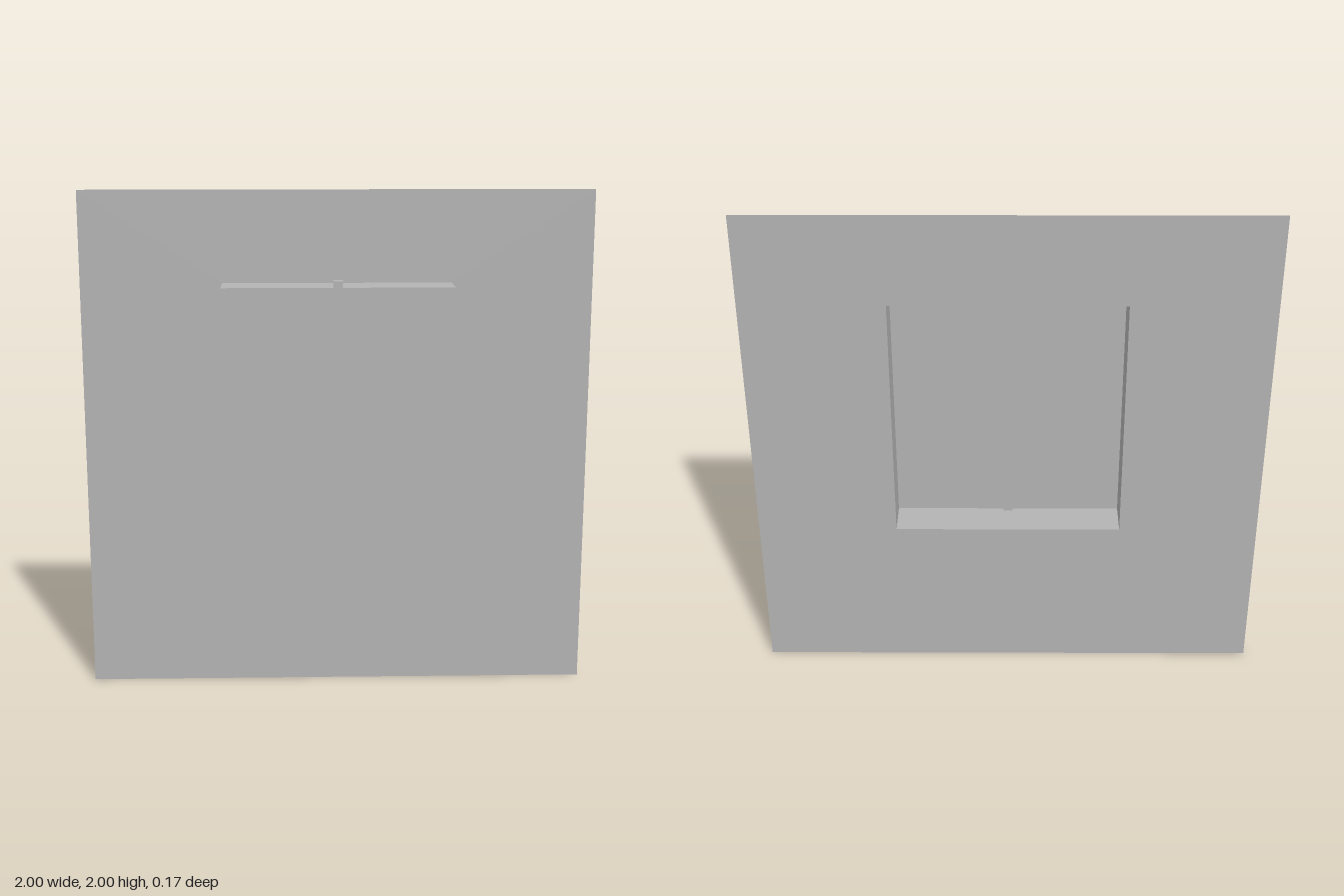
import * as THREE from 'three';

const BACK = -0.083, FRONT = 0.067;          // depth of the wall sheet and of the pane
const HALF_W = 0.448, LOW = 0.64, HIGH = 1.64; // window opening
const MID = (LOW + HIGH) / 2, HEIGHT = HIGH - LOW, DEPTH = FRONT - BACK;

export function createModel() {
  const group = new THREE.Group();
  const plaster = new THREE.MeshStandardMaterial({ color: 0xb3b3b3, side: THREE.DoubleSide });
  plaster.name = 'plainGrey';

  const add = (name, geometry, x, y, z, rx = 0, ry = 0) => {
    const mesh = new THREE.Mesh(geometry, plaster);
    mesh.name = name;
    mesh.position.set(x, y, z);
    mesh.rotation.set(rx, ry, 0);
    group.add(mesh);
  };

  // Thin square wall with the window opening cut out
  const wall = new THREE.Shape([[-1, 0], [1, 0], [1, 2], [-1, 2]].map(p => new THREE.Vector2(...p)));
  wall.holes.push(new THREE.Path(
    [[-HALF_W, LOW], [-HALF_W, HIGH], [HALF_W, HIGH], [HALF_W, LOW]].map(p => new THREE.Vector2(...p))));
  add('wall', new THREE.ShapeGeometry(wall), 0, 0, BACK);

  // Four sides of the projecting box, open at the back
  const midZ = (BACK + FRONT) / 2;
  for (const s of [-1, 1]) {
    add(s > 0 ? 'leftReveal' : 'rightReveal', new THREE.PlaneGeometry(DEPTH, HEIGHT),
      s * HALF_W, MID, midZ, 0, s * Math.PI / 2);
    add(s > 0 ? 'topReveal' : 'sill', new THREE.PlaneGeometry(2 * HALF_W, DEPTH),
      0, MID + s * HEIGHT / 2, midZ, -s * Math.PI / 2);
  }

  // Front pane and the vertical bar passing through it
  add('pane', new THREE.PlaneGeometry(2 * HALF_W, HEIGHT), 0, MID, FRONT);
  add('centreBar', new THREE.BoxGeometry(0.036, 1.054, 0.033), 0, MID, 0.0665);

  return group;
}
